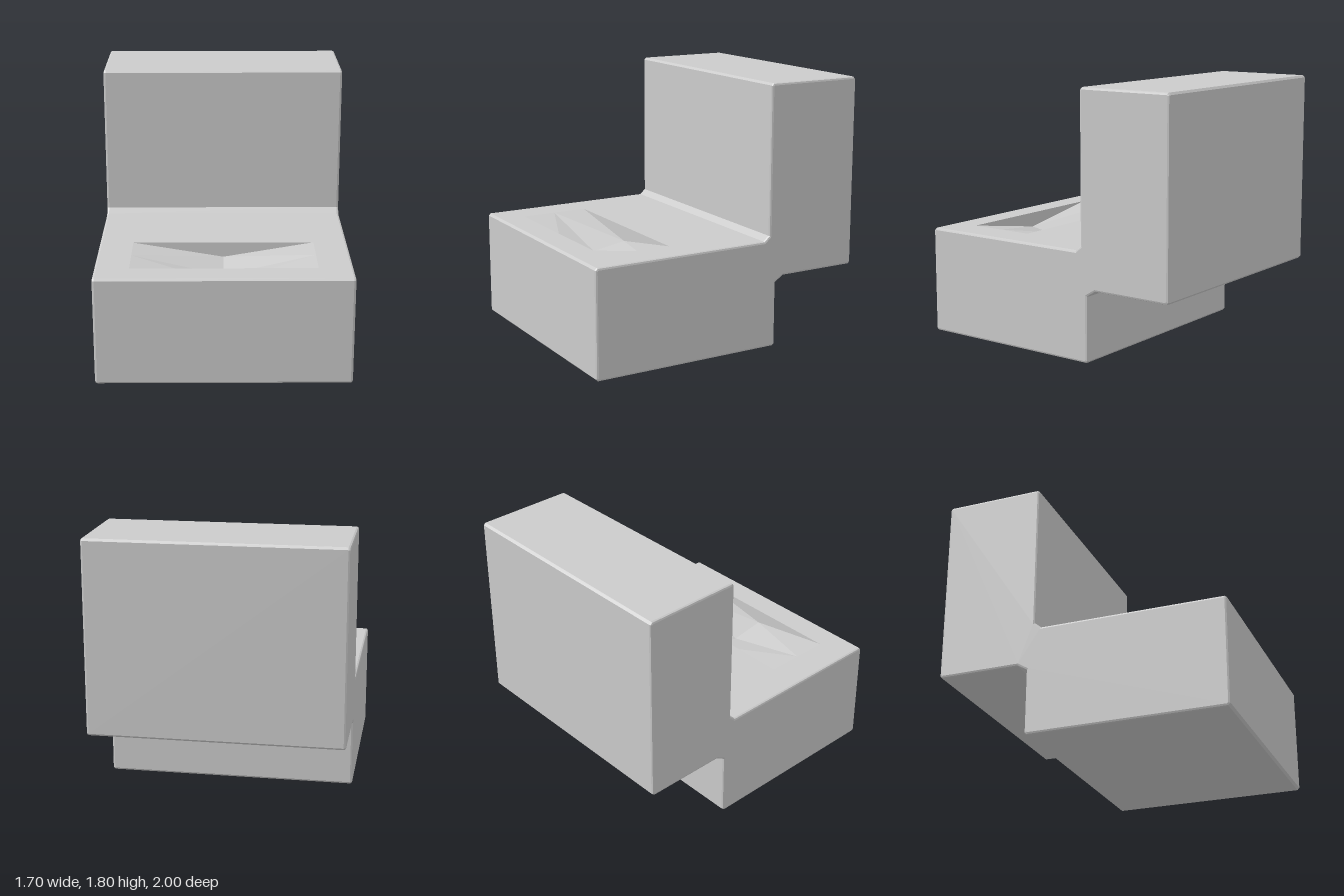
import * as THREE from 'three';

const WIDTH = 1.7, BEVEL = 0.015, SEAT_Y = 0.745;
const DISH = { z: 0.575, halfX: 0.62, halfZ: 0.24, edgeDepth: 0.105, midDepth: 0.145 };

const grey = () => new THREE.MeshStandardMaterial({ color: 0xcccccc, flatShading: true });

// Side profile as [z, y, cut]; cut corners are slightly eased
function sideProfile() {
  const corners = [
    [1, 0, 1], [1, SEAT_Y, 1], [-0.27, SEAT_Y], [-0.31, 0.78],
    [-0.31, 1.805, 1], [-1, 1.805, 1], [-1, 0.49, 1],
    [-0.43, 0.49], [-0.365, 0.45], [-0.365, 0, 1],
  ].reverse();
  const points = [];
  corners.forEach(([z, y, cut], i) => {
    const p = new THREE.Vector2(z, y);
    if (!cut) return points.push(p);
    for (const step of [-1, 1]) {
      const [nz, ny] = corners[(i + step + corners.length) % corners.length];
      const dir = new THREE.Vector2(nz, ny).sub(p).normalize();
      points.push(p.clone().addScaledVector(dir, BEVEL));
    }
  });
  return new THREE.Shape(points);
}

// L-shaped body, left open on top of the seat for the dished panel
function bodyGeometry() {
  const depth = WIDTH - 2 * BEVEL;
  const geo = new THREE.ExtrudeGeometry(sideProfile(), {
    depth, bevelEnabled: true, bevelSize: BEVEL, bevelThickness: BEVEL,
    bevelOffset: -BEVEL, bevelSegments: 2,
  });
  geo.translate(0, 0, -depth / 2).rotateY(-Math.PI / 2);
  const pos = geo.attributes.position;
  const kept = [];
  for (let i = 0; i < pos.count; i += 3) {
    const onSeat = [0, 1, 2].every((k) => Math.abs(pos.getY(i + k) - SEAT_Y) < 1e-4);
    if (!onSeat) {
      for (let k = 0; k < 3; k++) kept.push(pos.getX(i + k), pos.getY(i + k), pos.getZ(i + k));
    }
  }
  const body = new THREE.BufferGeometry();
  body.setAttribute('position', new THREE.Float32BufferAttribute(kept, 3));
  body.computeVertexNormals();
  return body;
}

function rectangle(Path, x, z0, z1) {
  return new Path([[-x, -z1], [x, -z1], [x, -z0], [-x, -z0]].map((p) => new THREE.Vector2(...p)));
}

// Flat seat top with a rectangular opening
function seatGeometry() {
  const shape = rectangle(THREE.Shape, WIDTH / 2 - BEVEL, -0.27, 1 - BEVEL);
  shape.holes.push(rectangle(THREE.Path, DISH.halfX, DISH.z - DISH.halfZ, DISH.z + DISH.halfZ));
  return new THREE.ShapeGeometry(shape).rotateX(-Math.PI / 2);
}

// Faceted hollow: one quarter mirrored four ways
function dishGeometry() {
  const { halfX, halfZ, edgeDepth, midDepth } = DISH;
  const corner = [halfX, 0, halfZ], side = [halfX, 0, 0], rim = [0, 0, halfZ];
  const edgeLow = [0, -edgeDepth, halfZ], centre = [0, -midDepth, 0];
  const quarter = [
    [centre, edgeLow, side], [edgeLow, corner, side], // sloping floor
    [rim, corner, edgeLow],                           // upright end wall
  ];
  const verts = [];
  for (const sx of [1, -1]) for (const sz of [1, -1]) {
    for (const [a, b, c] of quarter) {
      const tri = sx * sz > 0 ? [a, b, c] : [a, c, b];
      for (const [x, y, z] of tri) verts.push(x * sx, y, z * sz);
    }
  }
  const geo = new THREE.BufferGeometry();
  geo.setAttribute('position', new THREE.Float32BufferAttribute(verts, 3));
  geo.computeVertexNormals();
  return geo;
}

export function createModel() {
  const model = new THREE.Group();
  model.name = 'chair';
  const add = (name, geometry, y = 0, z = 0) => {
    const mesh = new THREE.Mesh(geometry, grey());
    mesh.name = name;
    mesh.position.set(0, y, z);
    model.add(mesh);
  };
  add('body', bodyGeometry());
  add('seatTop', seatGeometry(), SEAT_Y);
  add('seatHollow', dishGeometry(), SEAT_Y, DISH.z);
  return model;
}
